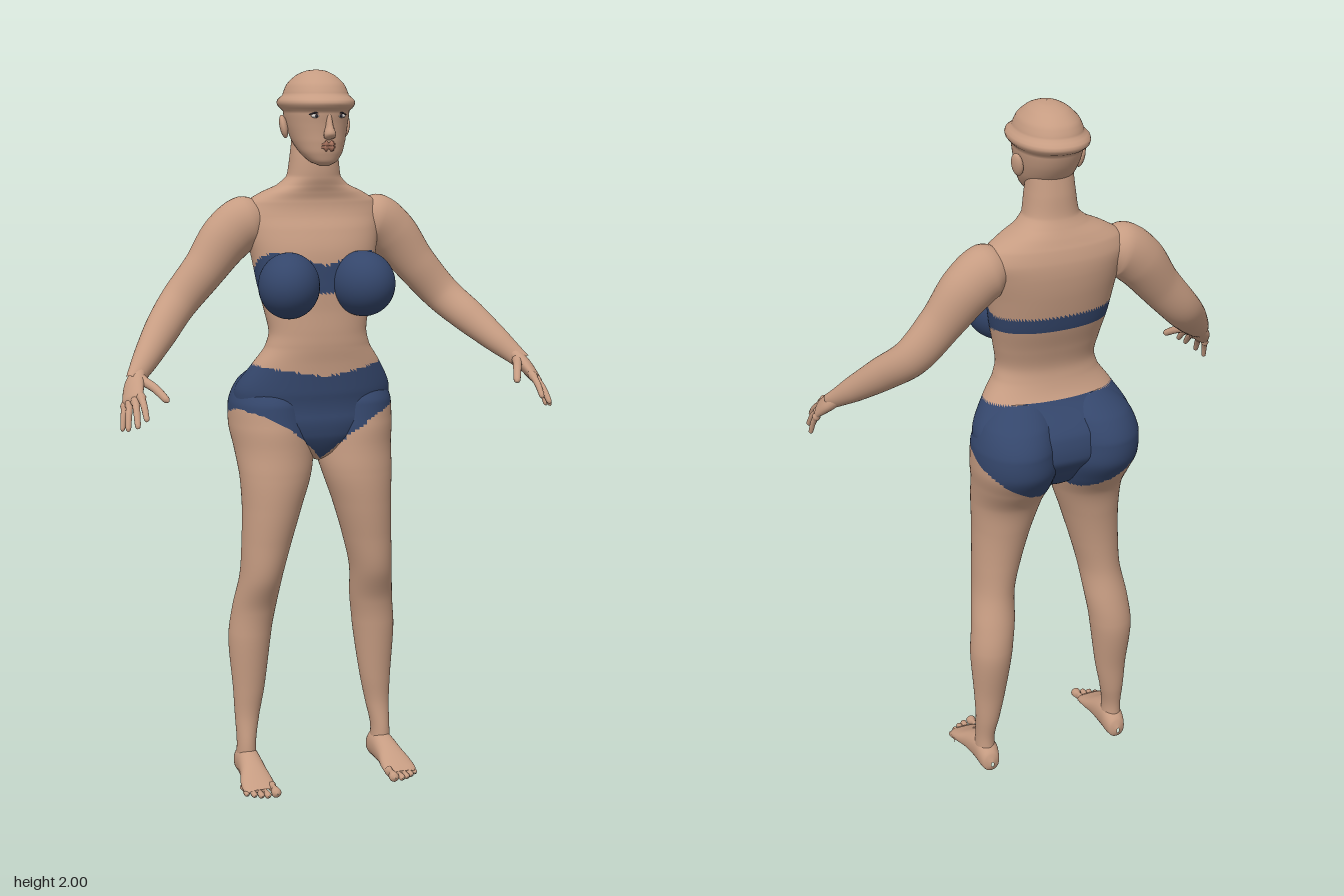
import * as THREE from 'three';

const material = (name, hex) => {
  const m = new THREE.MeshStandardMaterial({ color: hex });
  m.name = name;
  return m;
};
const { smoothstep, lerp } = THREE.MathUtils;

// Smooth skin through cross-sections [x, y, z, halfWidth, halfDepth].
// axis fixes the ring normal (otherwise the path tangent is used); u is the width direction.
// paint(centre) sends a triangle to the second material.
function loft(rows, { axis, u = [1, 0, 0], seg = 24, steps = 40, pow = 2, paint } = {}) {
  const path = new THREE.CatmullRomCurve3(rows.map(r => new THREE.Vector3(r[0], r[1], r[2])));
  const size = new THREE.CatmullRomCurve3(rows.map(r => new THREE.Vector3(r[3], r[4], 0)));
  const pos = [], index = [[], []];
  const bend = v => Math.sign(v) * Math.abs(v) ** (2 / pow);
  for (let i = 0; i <= steps; i++) {
    const p = path.getPoint(i / steps), s = size.getPoint(i / steps);
    const t = axis ? new THREE.Vector3(...axis) : path.getTangent(i / steps);
    const a = new THREE.Vector3(...u);
    a.addScaledVector(t, -a.dot(t)).normalize();
    const b = new THREE.Vector3().crossVectors(t, a);
    for (let j = 0; j < seg; j++) {
      const q = j / seg * Math.PI * 2;
      const v = p.clone()
        .addScaledVector(a, bend(Math.cos(q)) * Math.max(s.x, 0.0005))
        .addScaledVector(b, bend(Math.sin(q)) * Math.max(s.y, 0.0005));
      pos.push(v.x, v.y, v.z);
    }
  }
  const mid = (tri, k) => (pos[tri[0] * 3 + k] + pos[tri[1] * 3 + k] + pos[tri[2] * 3 + k]) / 3;
  for (let i = 0; i < steps; i++) {
    for (let j = 0; j < seg; j++) {
      const a = i * seg + j, b = i * seg + (j + 1) % seg;
      for (const tri of [[a, b, a + seg], [b, b + seg, a + seg]]) {
        const painted = paint && paint(mid(tri, 0), mid(tri, 1), mid(tri, 2));
        index[painted ? 1 : 0].push(...tri);
      }
    }
  }
  const g = new THREE.BufferGeometry();
  g.setAttribute('position', new THREE.Float32BufferAttribute(pos, 3));
  g.setIndex([...index[0], ...index[1]]);
  if (paint) {
    g.addGroup(0, index[0].length, 0);
    g.addGroup(index[0].length, index[1].length, 1);
  }
  g.computeVertexNormals();
  return g;
}

// Horizontal sections given as [y, halfWidth, zFront, zBack]
const stack = rows => rows.map(([y, w, f, b]) => [0, y, (f + b) / 2, w, (f - b) / 2]);

// Where the briefs and the bandeau cover the body
function isCloth(x, y, z) {
  const ax = Math.abs(x), front = smoothstep(z, -0.17, -0.05);
  const legLine = 0.93 + lerp(2.2 * ax * ax, 1.15 * ax - 2.2 * ax * ax, front);
  const waistLine = lerp(1.205, 1.17 + 0.03 * Math.min(1, ax / 0.18), front);
  if (y > legLine && y < waistLine) return true;
  const cup = smoothstep(z, -0.1, 0);
  const low = lerp(1.41, 1.4, cup);
  const high = lerp(1.455, 1.475 + 0.035 * Math.min(1, ax / 0.13), cup);
  return y > low && y < high;
}

export function createModel() {
  const model = new THREE.Group();
  const skin = material('skin', 0xc69c82);
  const navy = material('navy cloth', 0x34466b);
  const white = material('eye white', 0xd8d4d0);
  const dark = material('dark lash', 0x2e2a33);
  const lip = material('lip', 0xa9745f);
  const add = (name, geo, mat, parent = model) => {
    const m = new THREE.Mesh(geo, mat);
    m.name = name;
    parent.add(m);
    return m;
  };
  const ball = (name, mat, p, s, seg = 16) => {
    const m = add(name, new THREE.SphereGeometry(1, seg, seg), mat);
    m.position.set(...p);
    m.scale.set(...s);
    return m;
  };
  const UP = [0, 1, 0];

  // Torso, shoulders and neck
  add('torso', loft(stack([
    [0.925, 0.01, -0.03, -0.11], [0.95, 0.08, 0.0, -0.15], [1.0, 0.17, 0.028, -0.19],
    [1.06, 0.226, 0.032, -0.225], [1.12, 0.226, 0.034, -0.215], [1.2, 0.184, 0.036, -0.147],
    [1.25, 0.15, 0.04, -0.125], [1.29, 0.14, 0.04, -0.12], [1.35, 0.15, 0.036, -0.135],
    [1.42, 0.165, 0.035, -0.16], [1.51, 0.18, 0.028, -0.18], [1.57, 0.193, 0.008, -0.187],
    [1.61, 0.2, -0.012, -0.185], [1.645, 0.185, -0.02, -0.175], [1.67, 0.145, -0.018, -0.163],
    [1.69, 0.1, -0.013, -0.152], [1.715, 0.074, -0.008, -0.14], [1.77, 0.066, -0.008, -0.133],
    [1.82, 0.06, -0.02, -0.125],
  ]), { axis: UP, seg: 112, steps: 160, pow: 2.2, paint: isCloth }), [skin, navy]);

  // Head
  add('head', loft(stack([
    [1.744, 0.012, 0.03, 0.0], [1.755, 0.036, 0.043, -0.03], [1.78, 0.057, 0.05, -0.075],
    [1.81, 0.07, 0.053, -0.12], [1.85, 0.08, 0.055, -0.15], [1.89, 0.086, 0.06, -0.166],
    [1.93, 0.086, 0.056, -0.17], [1.96, 0.075, 0.04, -0.157], [1.985, 0.05, 0.008, -0.125],
    [1.997, 0.024, -0.025, -0.087], [2.0, 0.001, -0.05, -0.052],
  ]), { axis: UP, seg: 56, steps: 56, pow: 2.15 }), skin);
  add('nose', loft([
    [0, 1.814, 0.05, 0.004, 0.004], [0, 1.82, 0.058, 0.015, 0.014], [0, 1.83, 0.061, 0.016, 0.019],
    [0, 1.85, 0.057, 0.01, 0.014], [0, 1.88, 0.052, 0.007, 0.008], [0, 1.9, 0.05, 0.006, 0.004],
  ], { axis: UP, seg: 16, steps: 20 }), skin);
  for (const [y, z, r] of [[1.802, 0.051, 0.004], [1.794, 0.05, 0.0045]]) {
    add('lip', loft([
      [-0.026, y, z - 0.008, 0.0005, 0.0005], [-0.012, y, z, r, r], [0, y, z + 0.003, r, r],
      [0.012, y, z, r, r], [0.026, y, z - 0.008, 0.0005, 0.0005],
    ], { u: UP, seg: 8, steps: 16 }), lip);
  }

  for (const s of [-1, 1]) {
    const side = s > 0 ? 'left ' : 'right ';
    const flip = rows => rows.map(([x, ...rest]) => [x * s, ...rest]);

    // Eye and ear
    ball(side + 'eye', white, [0.036 * s, 1.877, 0.048], [0.013, 0.0055, 0.007]);
    ball(side + 'iris', dark, [0.035 * s, 1.877, 0.0495], [0.005, 0.005, 0.0075]);
    add(side + 'lash', loft(flip([
      [0.019, 1.88, 0.053, 0.001, 0.001], [0.036, 1.885, 0.05, 0.0025, 0.003],
      [0.053, 1.88, 0.042, 0.001, 0.001],
    ]), { u: UP, seg: 8, steps: 12 }), dark);
    ball(side + 'ear', skin, [0.088 * s, 1.848, -0.067], [0.011, 0.032, 0.02])
      .rotation.set(-0.15, 0.35 * s, -0.15 * s);

    // Bandeau cup
    ball(side + 'cup', navy, [0.107 * s, 1.424, 0.033], [0.084, 0.09, 0.098], 40)
      .rotation.y = 0.25 * s;

    // Leg with hip and buttock
    add(side + 'leg', loft(flip([
      [0.205, 0.03, -0.075, 0.03, 0.038], [0.206, 0.1, -0.074, 0.027, 0.035],
      [0.2, 0.18, -0.085, 0.035, 0.037], [0.194, 0.26, -0.087, 0.045, 0.044],
      [0.188, 0.42, -0.092, 0.061, 0.063], [0.178, 0.5, -0.082, 0.062, 0.063],
      [0.165, 0.6, -0.053, 0.06, 0.072], [0.15, 0.7, -0.046, 0.07, 0.079],
      [0.134, 0.8, -0.046, 0.084, 0.089], [0.121, 0.89, -0.055, 0.101, 0.1],
      [0.117, 0.96, -0.082, 0.111, 0.122], [0.12, 1.03, -0.105, 0.116, 0.141],
      [0.122, 1.09, -0.11, 0.112, 0.137], [0.113, 1.15, -0.11, 0.095, 0.102],
      [0.095, 1.2, -0.09, 0.055, 0.05], [0.09, 1.215, -0.085, 0.005, 0.005],
    ]), { axis: UP, seg: 64, steps: 150, paint: isCloth }), [skin, navy]);

    // Foot and toes
    add(side + 'foot', loft(flip([
      [0.205, 0.03, -0.131, 0.004, 0.008], [0.205, 0.034, -0.12, 0.025, 0.032],
      [0.205, 0.045, -0.09, 0.033, 0.044], [0.206, 0.044, -0.05, 0.034, 0.043],
      [0.209, 0.035, 0, 0.038, 0.034], [0.212, 0.024, 0.04, 0.046, 0.023],
      [0.213, 0.016, 0.075, 0.047, 0.014], [0.213, 0.013, 0.092, 0.035, 0.006],
    ]), { axis: [0, 0, 1], seg: 28, steps: 36, pow: 2.2 }), skin);
    for (let i = 0; i < 5; i++) {
      const r = i ? 0.0098 - i * 0.0004 : 0.014;
      const x = i ? 0.184 + i * 0.0172 : 0.177, tip = 0.128 - i * i * 0.0022;
      add(side + 'toe', loft(flip([
        [x, r + 0.003, tip - 0.055, r * 0.9, r], [x, r + 0.001, tip - 0.025, r * 0.9, r],
        [x, r, tip - 0.009, r, r], [x, r, tip, 0.001, 0.001],
      ]), { axis: [0, 0, 1], seg: 12, steps: 14 }), skin);
    }

    // Arm
    add(side + 'arm', loft(flip([
      [0.12, 1.6, -0.1, 0.02, 0.03], [0.19, 1.588, -0.1, 0.074, 0.067],
      [0.243, 1.548, -0.1, 0.072, 0.064], [0.31, 1.465, -0.092, 0.06, 0.052],
      [0.39, 1.375, -0.078, 0.053, 0.046], [0.45, 1.313, -0.02, 0.048, 0.042],
      [0.512, 1.247, 0.05, 0.036, 0.033], [0.545, 1.212, 0.088, 0.027, 0.023],
      [0.56, 1.195, 0.108, 0.024, 0.018],
    ]), { u: [0.7 * s, 0.7, 0], seg: 32, steps: 70 }), skin);

    // Palm
    const across = [0.62 * s, -0.45, -0.64];
    add(side + 'palm', loft(flip([
      [0.538, 1.22, 0.08, 0.02, 0.018], [0.56, 1.19, 0.115, 0.032, 0.019],
      [0.575, 1.157, 0.155, 0.034, 0.014], [0.58, 1.147, 0.166, 0.02, 0.006],
    ]), { u: across, seg: 24, steps: 24 }), skin);

    // Fingers and thumb: base, tip, radius
    const digits = [
      ['index finger', [0.557, 1.168, 0.174], [0.558, 1.112, 0.243], 0.0095],
      ['middle finger', [0.57, 1.158, 0.166], [0.582, 1.095, 0.242], 0.0098],
      ['ring finger', [0.582, 1.149, 0.153], [0.6, 1.083, 0.208], 0.0093],
      ['little finger', [0.592, 1.142, 0.139], [0.606, 1.077, 0.168], 0.0083],
      ['thumb', [0.545, 1.203, 0.105], [0.493, 1.155, 0.213], 0.0125],
    ];
    for (const [name, a, b, r] of digits) {
      const at = (k, lift, w) => [...a.map((v, i) => lerp(v, b[i], k) + (i === 1 ? lift : 0)), w, w];
      add(side + name, loft(flip([
        at(-0.12, -0.003, r), at(0.2, 0.004, r), at(0.55, 0.008, r * 0.92),
        at(0.92, 0.001, r * 0.75), at(1, 0, 0.001),
      ]), { u: across, seg: 12, steps: 18 }), skin);
    }
  }
  return model;
}
